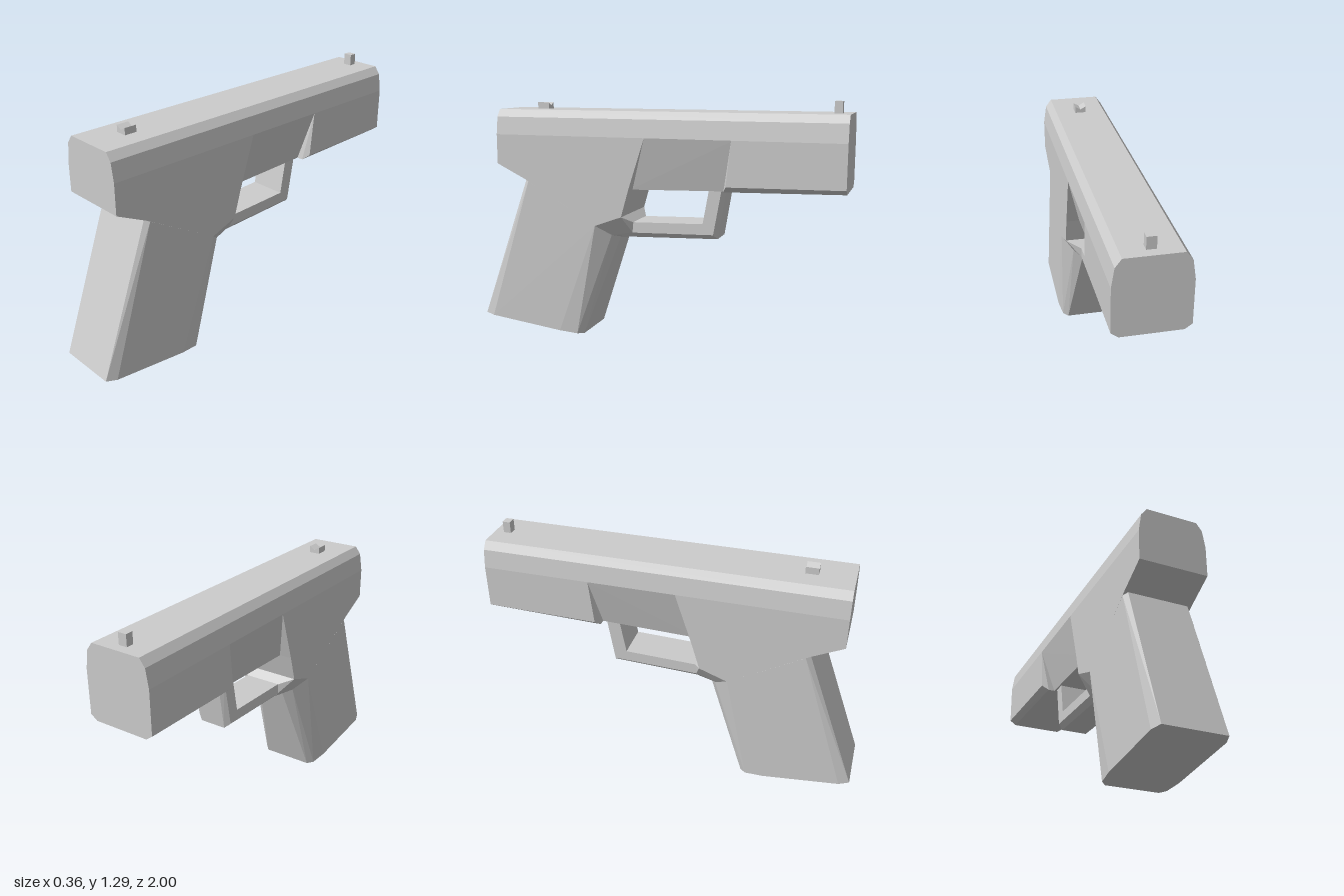
import * as THREE from 'three';
import { ConvexGeometry } from 'three/addons/geometries/ConvexGeometry.js';

const material = new THREE.MeshStandardMaterial({ color: 0xcccccc, flatShading: true });

function part(name, geometry) {
  const mesh = new THREE.Mesh(geometry, material);
  mesh.name = name;
  return mesh;
}

// Faceted solid around points [x, y, z] given for one side and mirrored in x
function hull(name, half) {
  const points = half.flatMap(([x, y, z]) => [new THREE.Vector3(x, y, z), new THREE.Vector3(-x, y, z)]);
  return part(name, new ConvexGeometry(points));
}

// Side outline of [z, y] points, extruded across x
function slab(name, outline, halfWidth) {
  const shape = new THREE.Shape(outline.map(([z, y]) => new THREE.Vector2(z, y)));
  const geometry = new THREE.ExtrudeGeometry(shape, { depth: 2 * halfWidth, bevelEnabled: false });
  geometry.translate(0, 0, -halfWidth).rotateY(-Math.PI / 2);
  return part(name, geometry);
}

export function createModel() {
  const group = new THREE.Group();
  group.name = 'pistol';

  // Long slide with bevelled upper edges
  const slideProfile = [[0.135, 1.235], [0.165, 1.195], [0.18, 1.1]];
  group.add(hull('slide', [-1, 0.885].flatMap(z => slideProfile.map(([x, y]) => [x, y, z]))));

  // Front of the frame under the barrel, chamfered below
  group.add(hull('frontFrame', [
    [0.18, 1.1, -1], [0.18, 0.875, -1], [0.145, 0.85, -1],
    [0.18, 1.1, -0.43], [0.18, 0.865, -0.405], [0.145, 0.835, -0.385],
  ]));

  // Frame above the trigger opening, tapering inward
  group.add(hull('triggerFrame', [
    [0.18, 1.1, 0.04], [0.18, 1.1, -0.44],
    [0.11, 0.82, 0.13], [0.11, 0.835, -0.4],
  ]));

  // Full-width rear frame
  group.add(slab('rearFrame', [
    [0.885, 1.1], [0.885, 0.94], [0.72, 0.86], [0.31, 0.625],
    [0.16, 0.68], [0.12, 0.82], [0.03, 1.1],
  ], 0.18));

  // Raked grip, narrowing at the front toward the trigger guard
  group.add(hull('grip', [
    [0.16, 0.075, 1], [0.18, 0.068, 0.945], [0.18, 0.02, 0.53],
    [0.168, 0.009, 0.43], [0.14, 0.005, 0.4],
    [0.16, 0.86, 0.72], [0.18, 0.848, 0.7], [0.18, 0.625, 0.31],
    [0.125, 0.57, 0.235], [0.075, 0.56, 0.2],
  ]));

  // Wedge joining the grip to the guard
  group.add(hull('guardRoot', [
    [0.18, 0.625, 0.31], [0.18, 0.68, 0.16], [0.1, 0.642, 0.12],
    [0.1, 0.587, 0.125], [0.125, 0.57, 0.235], [0.075, 0.555, 0.2], [0.075, 0.558, 0.13],
  ]));

  // Trigger guard: bars between mitred sections, chamfered on the outside
  const section = (outer, edge, inner) =>
    [[0.072, ...outer], [0.1, ...edge], [0.1, ...inner]];
  const sections = [
    section([0.557, 0.14], [0.585, 0.14], [0.642, 0.14]),
    section([0.575, -0.34], [0.6, -0.322], [0.655, -0.265]),
    section([0.87, -0.388], [0.87, -0.37], [0.84, -0.298]),
  ];
  ['guardBottom', 'guardFront'].forEach((name, i) =>
    group.add(hull(name, [...sections[i], ...sections[i + 1]])));

  // Sights: notched rear block and front post
  const rearSight = new THREE.Shape([[-0.03, 1.23], [0.03, 1.23], [0.03, 1.27], [0, 1.253], [-0.03, 1.27]]
    .map(([x, y]) => new THREE.Vector2(x, y)));
  const rearGeometry = new THREE.ExtrudeGeometry(rearSight, { depth: 0.065, bevelEnabled: false });
  group.add(part('rearSight', rearGeometry.translate(0, 0, 0.64)));

  const frontSight = part('frontSight', new THREE.BoxGeometry(0.046, 0.065, 0.04));
  frontSight.position.set(0, 1.2625, -0.93);
  group.add(frontSight);

  return group;
}
